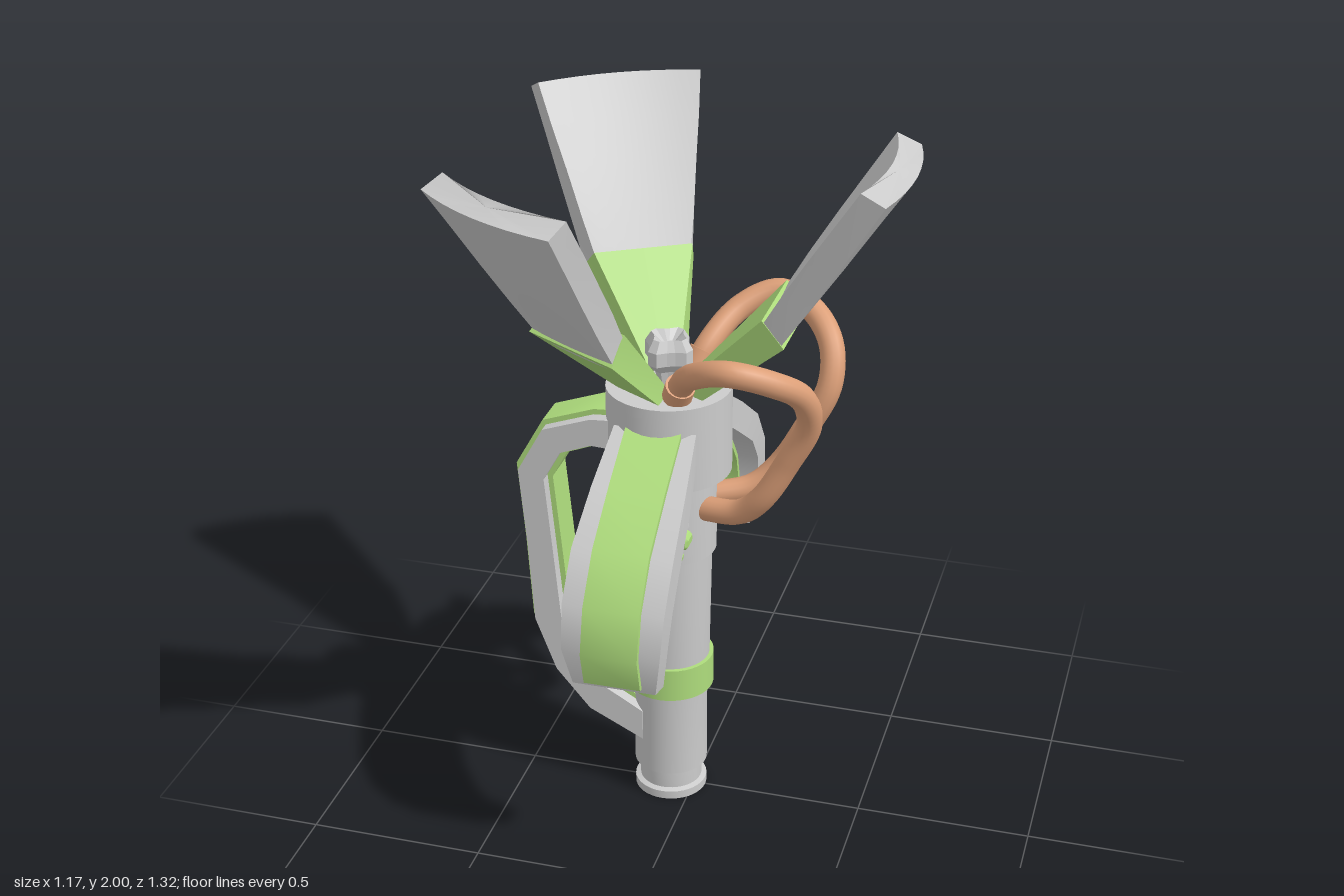
import * as THREE from 'three';
import { toCreasedNormals } from 'three/addons/utils/BufferGeometryUtils.js';

const GREY = new THREE.MeshStandardMaterial({ color: 0xcccccc });
const GREEN = new THREE.MeshStandardMaterial({ color: 0xaedc7c });
const COPPER = new THREE.MeshStandardMaterial({ color: 0xdc9f78 });
const V = (x, y, z) => new THREE.Vector3(x, y, z);

function add(parent, name, geometry, material) {
  const mesh = new THREE.Mesh(geometry, material);
  mesh.name = name;
  parent.add(mesh);
  return mesh;
}

// Skin a row of closed loops and cap both ends; winding is fixed by signed volume
function loft(loops, crease = 0.55) {
  const tris = [];
  const n = loops[0].length;
  for (let i = 0; i < loops.length - 1; i++) {
    for (let j = 0; j < n; j++) {
      const k = (j + 1) % n;
      const [a, b, c, d] = [loops[i][j], loops[i][k], loops[i + 1][k], loops[i + 1][j]];
      tris.push([a, b, c], [a, c, d]);
    }
  }
  const cap = (loop, flip) => {
    const mid = loop.reduce((s, p) => s.add(p), V(0, 0, 0)).divideScalar(n);
    loop.forEach((p, j) => {
      const q = loop[(j + 1) % n];
      tris.push(flip ? [mid, q, p] : [mid, p, q]);
    });
  };
  cap(loops[0], true);
  cap(loops[loops.length - 1], false);
  const volume = tris.reduce((s, [a, b, c]) => s + a.dot(b.clone().cross(c)), 0);
  const pos = tris.flatMap(([a, b, c]) => (volume < 0 ? [a, c, b] : [a, b, c]).flatMap((p) => p.toArray()));
  const geo = new THREE.BufferGeometry();
  geo.setAttribute('position', new THREE.Float32BufferAttribute(pos, 3));
  return toCreasedNormals(geo, crease);
}

// Curved bar: rows are [outer distance, outer y, inner distance, inner y, half width]
function bar(rows, grow = 0, width = 0) {
  return loft(rows.map(([ox, oy, ix, iy, w]) => {
    const dx = ox - ix, dy = oy - iy, l = Math.hypot(dx, dy);
    const ex = (dx / l) * grow, ey = (dy / l) * grow, h = width || w;
    return [V(ox + ex, oy + ey, h), V(ox + ex, oy + ey, -h), V(ix - ex, iy - ey, -h), V(ix - ex, iy - ey, h)];
  }));
}

// Grey bar with a narrower green strip standing proud on its outer and inner faces
function stripedBar(name, rows, stripWidth, trim) {
  const group = new THREE.Group();
  group.name = name;
  add(group, name + 'Frame', bar(rows), GREY);
  const strip = rows.map((r) => r.slice());
  const last = strip.length - 1;
  strip[last] = rows[last].map((v, i) => THREE.MathUtils.lerp(v, rows[last - 1][i], trim));
  add(group, name + 'Strip', bar(strip, 0.016, stripWidth), GREEN);
  return group;
}

// Fan blade: rows are [lower r, lower y, upper r, upper y, half width lower, half width upper, sag]
function blade(rows, steps = 8) {
  return loft(rows.map(([lr, ly, ur, uy, wl, wu, sag]) => {
    const loop = [];
    for (let i = 0; i <= steps; i++) {
      const t = (i / steps) * 2 - 1;
      loop.push(V(lr - sag * t * t, ly, wl * t));
    }
    for (let i = steps; i >= 0; i--) {
      const t = (i / steps) * 2 - 1;
      loop.push(V(ur - sag * t * t, uy, wu * t));
    }
    return loop;
  }));
}

function lobedShape(radius, depth, lobes) {
  const pts = [];
  for (let i = 0; i < lobes * 10; i++) {
    const a = (i / (lobes * 10)) * Math.PI * 2;
    const r = radius + depth * Math.max(-0.8, Math.min(0.8, 1.5 * Math.cos(a * lobes)));
    pts.push(new THREE.Vector2(r * Math.cos(a), r * Math.sin(a)));
  }
  return new THREE.Shape(pts);
}

export function createModel() {
  const model = new THREE.Group();
  const core = new THREE.Group();
  core.name = 'nozzle';
  core.position.x = -0.07;
  model.add(core);

  // Stepped barrel and head
  const profile = [[0, 0], [0.105, 0], [0.105, 0.025], [0.09, 0.03], [0.09, 0.085], [0.106, 0.09], [0.106, 0.3],
    [0.112, 0.4], [0.12, 0.805], [0.132, 0.81], [0.132, 1.06], [0.174, 1.06], [0.174, 1.31], [0, 1.31]];
  const barrel = new THREE.LatheGeometry(profile.map(([r, y]) => new THREE.Vector2(r, y)), 40);
  add(core, 'barrel', toCreasedNormals(barrel, 0.5), GREY);
  add(core, 'band', new THREE.CylinderGeometry(0.125, 0.125, 0.1, 40), GREEN).position.y = 0.408;

  // Long rear handle
  const handle = stripedBar('handle', [
    [0.12, 1.22, 0.12, 1.13, 0.09], [0.2, 1.215, 0.2, 1.135, 0.09], [0.34, 1.165, 0.29, 1.1, 0.09],
    [0.415, 1.03, 0.34, 1.01, 0.09], [0.395, 0.8, 0.32, 0.79, 0.09], [0.38, 0.55, 0.3, 0.56, 0.09],
    [0.32, 0.39, 0.26, 0.44, 0.09], [0.22, 0.27, 0.18, 0.355, 0.09], [0.06, 0.19, 0.06, 0.285, 0.09],
  ], 0.055, 0.15);
  handle.rotation.y = Math.PI;
  core.add(handle);

  // Hooked side arms
  for (const side of [1, -1]) {
    const arm = stripedBar('sideArm', [
      [0.14, 1.235, 0.14, 1.14, 0.115], [0.3, 1.13, 0.25, 1.06, 0.13], [0.45, 1.02, 0.39, 0.96, 0.14],
      [0.54, 0.9, 0.46, 0.87, 0.14], [0.57, 0.78, 0.485, 0.785, 0.135], [0.54, 0.66, 0.465, 0.64, 0.115],
    ], 0.078, 0.12);
    arm.rotation.y = -side * Math.PI / 2;
    core.add(arm);
  }

  // Valve knobs with bosses, facing +z and -z
  for (const side of [1, -1]) {
    const valve = new THREE.Group();
    valve.name = 'valve';
    valve.position.y = 0.93;
    valve.rotation.y = side > 0 ? 0 : Math.PI;
    core.add(valve);
    const boss = add(valve, 'valveBoss', new THREE.SphereGeometry(0.085, 24, 16), GREY);
    boss.position.z = 0.1;
    boss.scale.z = 0.6;
    const stem = add(valve, 'valveStem', new THREE.CylinderGeometry(0.035, 0.035, 0.1, 20), GREY);
    stem.rotation.x = Math.PI / 2;
    stem.position.z = 0.13;
    const wheel = new THREE.ExtrudeGeometry(lobedShape(0.095, 0.014, 8),
      { depth: 0.04, bevelEnabled: true, bevelSize: 0.007, bevelThickness: 0.007, bevelOffset: -0.004, bevelSegments: 1 });
    add(valve, 'valveWheel', toCreasedNormals(wheel, 0.5), GREEN).position.z = 0.157;
    add(valve, 'valveRing', new THREE.TorusGeometry(0.055, 0.009, 8, 28), GREEN).position.z = 0.205;
    const cap = add(valve, 'valveCap', new THREE.CylinderGeometry(0.02, 0.025, 0.02, 16), GREEN);
    cap.rotation.x = Math.PI / 2;
    cap.position.z = 0.213;
  }

  // Three flared petals in green sockets
  for (let i = 0; i < 3; i++) {
    const petal = new THREE.Group();
    petal.name = 'petal';
    petal.rotation.y = (i * Math.PI * 2) / 3;
    core.add(petal);
    add(petal, 'petalSocket', blade([
      [0.1, 1.295, 0.06, 1.34, 0.075, 0.045, 0],
      [0.355, 1.525, 0.29, 1.59, 0.16, 0.14, 0],
    ], 2), GREEN);
    add(petal, 'petalBlade', blade([
      [0.33, 1.5, 0.285, 1.56, 0.148, 0.132, 0.004],
      [0.42, 1.625, 0.36, 1.675, 0.172, 0.16, 0.012],
      [0.5, 1.74, 0.44, 1.79, 0.195, 0.185, 0.02],
      [0.58, 1.86, 0.515, 1.895, 0.218, 0.21, 0.027],
      [0.655, 1.97, 0.59, 2.0, 0.24, 0.232, 0.034],
    ]), GREY);
  }

  // Fluted tip with a dished end
  const flute = [[0.03, 1.3], [0.045, 1.36], [0.068, 1.385], [0.068, 1.425], [0.05, 1.455], [0.008, 1.42]];
  add(core, 'tip', loft(flute.map(([r, y]) => Array.from({ length: 16 }, (_, j) => {
    const a = (j / 16 + 1 / 32) * Math.PI * 2;
    const k = r * (Math.floor(j / 2) % 2 ? 0.82 : 1.08);
    return V(k * Math.cos(a), y, k * Math.sin(a));
  })), 0.1), GREY);

  // Looping hoses with end collars
  for (const s of [1, -1]) {
    const curve = new THREE.CatmullRomCurve3([
      [-0.03, 1.29, 0.085], [0, 1.37, 0.125], [0.07, 1.455, 0.23], [0.17, 1.495, 0.28], [0.27, 1.465, 0.245],
      [0.34, 1.4, 0.175], [0.35, 1.3, 0.125], [0.29, 1.17, 0.108], [0.22, 1.05, 0.105], [0.15, 0.985, 0.08],
      [0.03, 0.96, 0.04],
    ].map(([x, y, z]) => V(x, y, z * s)));
    add(model, 'hose', new THREE.TubeGeometry(curve, 72, 0.035, 14), COPPER);
    const collar = add(model, 'hoseCollar', new THREE.CylinderGeometry(0.041, 0.041, 0.05, 20), COPPER);
    collar.position.copy(curve.getPointAt(0.05));
    collar.quaternion.setFromUnitVectors(V(0, 1, 0), curve.getTangentAt(0.05));
  }
  return model;
}
